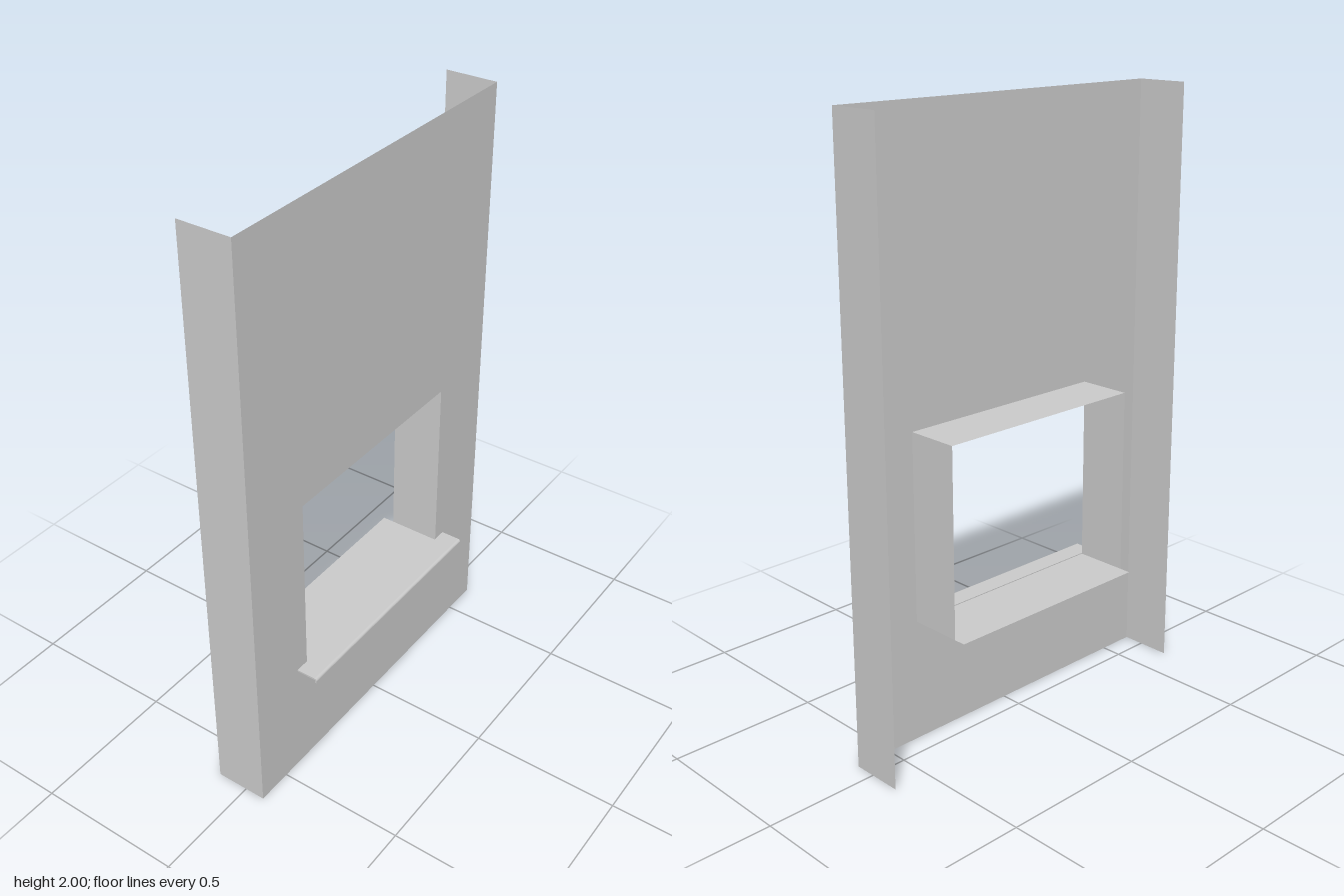
import * as THREE from 'three';

const W = 0.623, H = 2, FRONT = 0.07, BACK = -0.108;   // panel half width, height, depth range
const OW = 0.375, SILL = 0.408, HEAD = 1.03;           // opening half width, bottom, top
const NOSE = 0.423, TAIL = -0.147;                     // sill half width, rear edge

export function createModel() {
  const group = new THREE.Group();
  const sheet = new THREE.MeshStandardMaterial({ color: 0xcccccc, side: THREE.DoubleSide });

  const add = (name, geometry, x = 0, y = 0, z = 0) => {
    const mesh = new THREE.Mesh(geometry, sheet);
    mesh.name = name;
    mesh.position.set(x, y, z);
    group.add(mesh);
    return mesh;
  };

  // front sheet with the window opening
  const face = new THREE.Shape([[-W, 0], [W, 0], [W, H], [-W, H]].map(p => new THREE.Vector2(...p)));
  face.holes.push(new THREE.Path(
    [[-OW, SILL], [-OW, HEAD], [OW, HEAD], [OW, SILL]].map(p => new THREE.Vector2(...p))));
  add('frontPanel', new THREE.ShapeGeometry(face), 0, 0, FRONT);

  // side returns and opening jambs, folded back from the front sheet
  const depth = FRONT - BACK, midZ = (FRONT + BACK) / 2;
  for (const [side, s] of [['left', 1], ['right', -1]]) {
    add(side + 'Return', new THREE.PlaneGeometry(depth, H).rotateY(s * Math.PI / 2), s * W, H / 2, midZ);
    add(side + 'Jamb', new THREE.PlaneGeometry(depth, HEAD - SILL).rotateY(-s * Math.PI / 2),
      s * OW, (HEAD + SILL) / 2, midZ);
  }

  // head of the opening
  add('head', new THREE.PlaneGeometry(2 * OW, depth).rotateX(-Math.PI / 2), 0, HEAD, midZ);

  // sill pan running through the opening and past its rear edge
  add('sillPan', new THREE.PlaneGeometry(2 * OW, FRONT - TAIL).rotateX(-Math.PI / 2),
    0, SILL, (FRONT + TAIL) / 2);

  // wider sill nose: thin folded strip with a rounded drip edge, drawn in (z, y)
  const t = 0.006, top = 0.411, tip = 0.144, r = 0.009, drop = 0.394;
  const nose = new THREE.Shape();
  nose.moveTo(FRONT, top);
  nose.lineTo(FRONT, top - t);
  nose.lineTo(tip - r, top - t);
  nose.absarc(tip - r, top - r, r - t, Math.PI / 2, 0, true);
  nose.lineTo(tip - t, drop);
  nose.lineTo(tip, drop);
  nose.lineTo(tip, top - r);
  nose.absarc(tip - r, top - r, r, 0, Math.PI / 2, false);
  nose.closePath();
  const strip = new THREE.ExtrudeGeometry(nose, { depth: 2 * NOSE, bevelEnabled: false, curveSegments: 5 });
  add('sillNose', strip.translate(0, 0, -NOSE).rotateY(-Math.PI / 2));

  return group;
}
